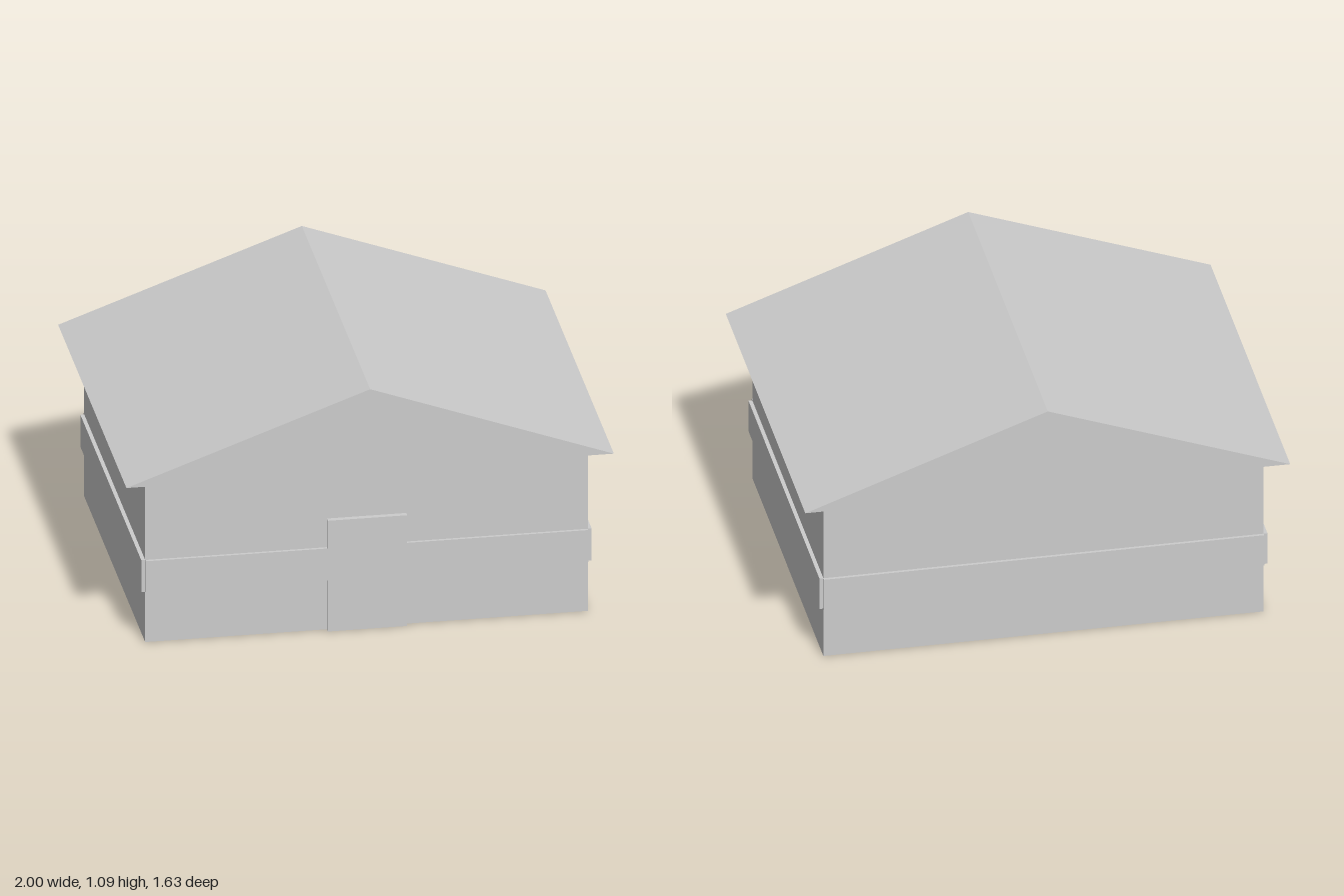
import * as THREE from 'three';

export function createModel() {
  const model = new THREE.Group();
  model.name = 'house';
  const grey = new THREE.MeshStandardMaterial({ color: 0xcccccc });
  grey.name = 'plainGrey';

  const W = 0.908, D = 0.728, H = 0.729; // wall half width, half depth, height

  // Box spanning the given minimum and maximum corners
  function box(name, x0, x1, y0, y1, z0, z1) {
    const mesh = new THREE.Mesh(new THREE.BoxGeometry(x1 - x0, y1 - y0, z1 - z0), grey);
    mesh.position.set((x0 + x1) / 2, (y0 + y1) / 2, (z0 + z1) / 2);
    mesh.name = name;
    model.add(mesh);
  }

  box('walls', -W, W, 0, H, -D, D);
  box('door', -0.163, 0.163, 0, 0.491, D, 0.751);

  // Raised strips, one per wall, leaving the corners notched
  const y0 = 0.222, y1 = 0.364, bx = 0.924, bz = 0.741;
  box('frontBand', -W, W, y0, y1, D, bz);
  box('backBand', -W, W, y0, y1, -bz, -D);
  box('leftBand', W, bx, y0, y1, -D, D);
  box('rightBand', -bx, -W, y0, y1, -D, D);

  // Solid gabled roof overhanging every wall
  const gable = new THREE.Shape([
    new THREE.Vector2(-1, H),
    new THREE.Vector2(1, H),
    new THREE.Vector2(0, 1.091),
  ]);
  const roofGeometry = new THREE.ExtrudeGeometry(gable, { depth: 1.632, bevelEnabled: false });
  roofGeometry.translate(0, 0, -0.816);
  const roof = new THREE.Mesh(roofGeometry, grey);
  roof.name = 'roof';
  model.add(roof);

  return model;
}
